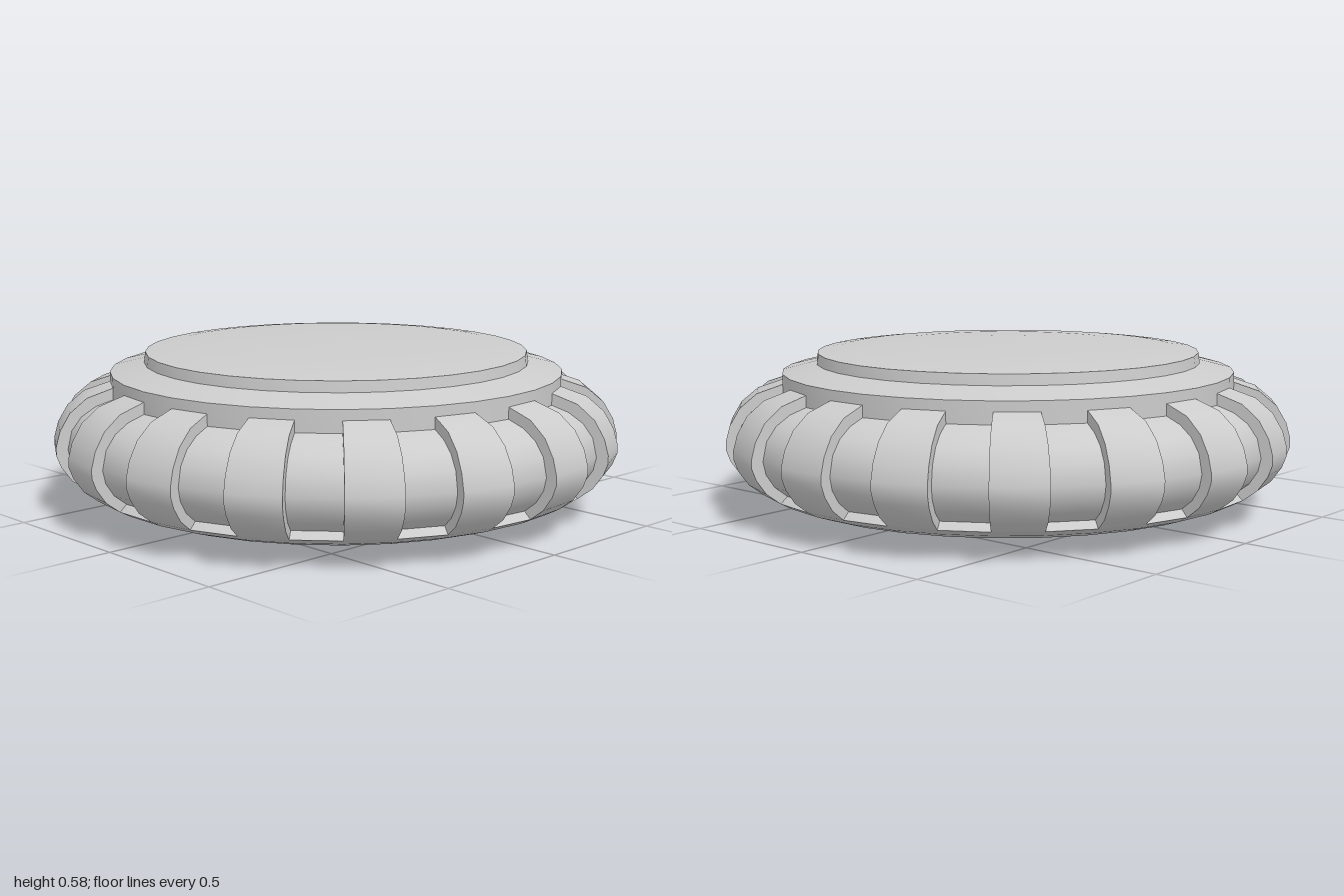
import * as THREE from 'three';
import { mergeGeometries, toCreasedNormals } from 'three/addons/utils/BufferGeometryUtils.js';

const RIDGES = 17;
const STEP = Math.PI / RIDGES; // width of one ridge or one groove
const vecs = (list) => list.map(([r, y]) => new THREE.Vector2(r, y));

// Profiles as [radius, height], from bottom to top
const BASE = [[0, 0], [0.3, 0.003], [0.45, 0.007], [0.58, 0.015], [0.7, 0.032], [0.8, 0.054], [0.86, 0.075], [0.9, 0.097]];
const GROOVE = [[0.875, 0.12], [0.92, 0.155], [0.95, 0.2], [0.96, 0.245], [0.945, 0.31], [0.91, 0.357], [0.86, 0.39], [0.8, 0.41]];
const RIDGE = [[0.9, 0.097], [0.95, 0.135], [0.985, 0.185], [1, 0.225], [1, 0.255], [0.985, 0.31], [0.95, 0.37], [0.89, 0.42], [0.8, 0.45]];
const RIM = [[0.8, 0.485], [0.68, 0.515], [0.675, 0.552]];
const CAP = [[0.6, 0.561], [0.45, 0.57], [0.25, 0.577], [0, 0.58]];

// One raised tread block: outer skin plus its two side walls
function ridgeGeometry() {
  const start = Math.PI / 2 - STEP / 2;
  const skin = new THREE.LatheGeometry(vecs(RIDGE), 1, start, STEP);
  const outline = new THREE.Shape(vecs([...RIDGE, ...[...GROOVE].reverse()]));
  const walls = [-1, 1].map((s) => new THREE.ShapeGeometry(outline).rotateY(s * STEP / 2));
  return toCreasedNormals(mergeGeometries([skin, ...walls]), 0.6);
}

export function createModel() {
  const model = new THREE.Group();
  const material = new THREE.MeshStandardMaterial({ color: 0xcccccc, side: THREE.DoubleSide });

  // Domed base, groove floors, stepped rim and domed cap in one turned body
  const profile = vecs([...BASE, ...GROOVE, ...RIM, ...CAP]);
  const bodyGeometry = new THREE.LatheGeometry(profile, RIDGES * 2, Math.PI / 2 + STEP / 2);
  const body = new THREE.Mesh(toCreasedNormals(bodyGeometry, 0.6), material);
  body.name = 'body';
  model.add(body);

  // Ring of tread blocks
  const ridges = new THREE.Group();
  ridges.name = 'ridges';
  const geometry = ridgeGeometry();
  for (let i = 0; i < RIDGES; i++) {
    const ridge = new THREE.Mesh(geometry, material);
    ridge.name = 'ridge';
    ridge.rotation.y = i * STEP * 2;
    ridges.add(ridge);
  }
  model.add(ridges);
  return model;
}
